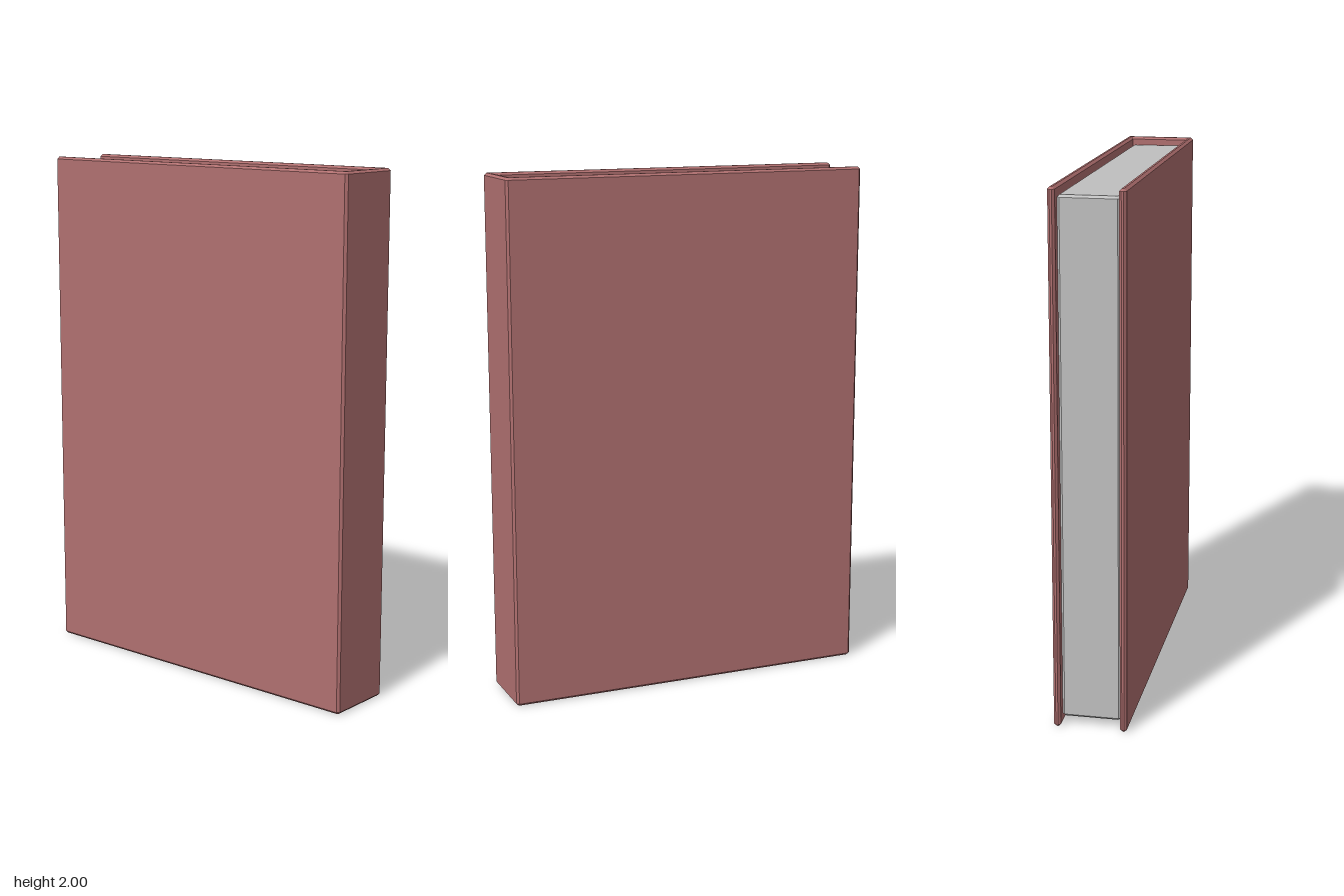
import * as THREE from 'three';

const BEVEL = 0.009;

// Upright prism from a plan outline of [x, z, chamfered] corners, with bevelled top and bottom
function bevelledPrism(corners, bottom, top) {
  const points = [];
  const n = corners.length;
  corners.forEach(([x, z, chamfer], i) => {
    const corner = new THREE.Vector2(x, -z);
    if (!chamfer) return points.push(corner);
    for (const j of [(i + n - 1) % n, (i + 1) % n]) {
      const dir = new THREE.Vector2(corners[j][0], -corners[j][1]).sub(corner).normalize();
      points.push(corner.clone().addScaledVector(dir, BEVEL));
    }
  });
  const geometry = new THREE.ExtrudeGeometry(new THREE.Shape(points), {
    depth: top - bottom - 2 * BEVEL,
    bevelEnabled: true,
    bevelSegments: 1,
    bevelSize: BEVEL,
    bevelOffset: -BEVEL,
    bevelThickness: BEVEL,
  });
  return geometry.rotateX(-Math.PI / 2).translate(0, bottom + BEVEL, 0);
}

export function createModel() {
  const coverMaterial = new THREE.MeshStandardMaterial({ color: 0xb07070 });
  coverMaterial.name = 'dusty red cover';
  const paperMaterial = new THREE.MeshStandardMaterial({ color: 0xc0c0c0 });
  paperMaterial.name = 'grey paper';

  const group = new THREE.Group();
  group.name = 'book';

  // Cover: two boards joined by the spine at the front
  const W = 0.137, D = 0.72, inner = 0.111, spineInner = 0.692;
  const cover = new THREE.Mesh(bevelledPrism([
    [-W, D, true], [W, D, true], [W, -D, true], [inner, -D, true],
    [inner, spineInner, false], [-inner, spineInner, false],
    [-inner, -D, true], [-W, -D, true],
  ], 0, 2), coverMaterial);
  cover.name = 'cover';

  // Page block, set back from the board edges
  const pw = 0.1105, pd = 0.689;
  const pages = new THREE.Mesh(bevelledPrism([
    [-pw, pd, true], [pw, pd, true], [pw, -pd, true], [-pw, -pd, true],
  ], 0.031, 1.969), paperMaterial);
  pages.name = 'pages';

  group.add(cover, pages);
  return group;
}
